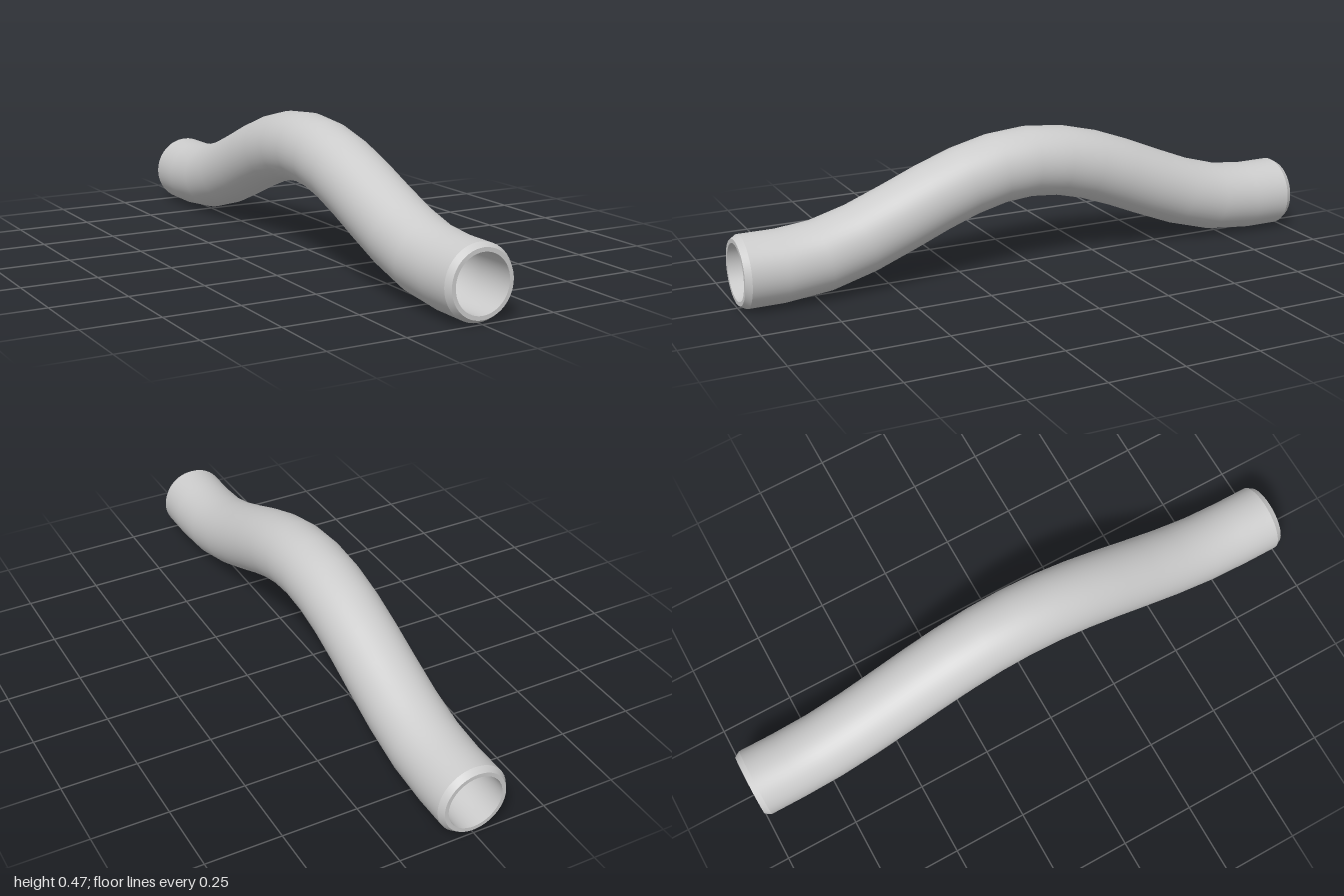
import * as THREE from 'three';
import { toCreasedNormals } from 'three/addons/utils/BufferGeometryUtils.js';

const OUTER = 0.117, RIM = 0.105, INNER = 0.092;
const RISE = 0.231, BEND = 0.86, SIDES = 48;

// Centreline: a cosine hump between two straight, level ends
function centre(z) {
  const p = Math.PI * Math.min(Math.abs(z), BEND) / BEND;
  return {
    y: OUTER + RISE / 2 * (1 + Math.cos(p)),
    angle: Math.atan(-Math.sign(z) * RISE / 2 * Math.PI / BEND * Math.sin(p)),
  };
}

// Skin through rings given as [z, radius], each square to the centreline
function loft(rings) {
  const pos = [], index = [];
  for (const [z, r] of rings) {
    const { y, angle } = centre(z);
    for (let j = 0; j < SIDES; j++) {
      const a = j / SIDES * Math.PI * 2, v = r * Math.sin(a);
      pos.push(r * Math.cos(a), y + v * Math.cos(angle), z - v * Math.sin(angle));
    }
  }
  for (let i = 0; i < rings.length - 1; i++) {
    for (let j = 0; j < SIDES; j++) {
      const k = (j + 1) % SIDES;
      const a = i * SIDES + j, b = i * SIDES + k, c = b + SIDES, d = a + SIDES;
      index.push(a, b, c, a, c, d);
    }
  }
  const geo = new THREE.BufferGeometry();
  geo.setAttribute('position', new THREE.Float32BufferAttribute(pos, 3));
  geo.setIndex(index);
  return toCreasedNormals(geo, 0.45);
}

export function createModel() {
  const group = new THREE.Group();
  group.name = 'bentPipe';
  const material = new THREE.MeshStandardMaterial({ color: 0xcccccc });

  const half = [0.115, 0.23, 0.345, 0.46, 0.59, 0.725, 0.86];
  const stations = [...half.map(z => -z).reverse(), 0, ...half];

  // Outside wall with chamfered ends, flat rims, then back along the bore
  const rings = [
    [-1, INNER], [-1, RIM], [-0.98, OUTER],
    ...stations.map(z => [z, OUTER]),
    [0.98, OUTER], [1, RIM], [1, INNER],
    ...stations.map(z => [-z, INNER]),
    [-1, INNER],
  ];
  const pipe = new THREE.Mesh(loft(rings), material);
  pipe.name = 'pipeWall';
  group.add(pipe);
  return group;
}
